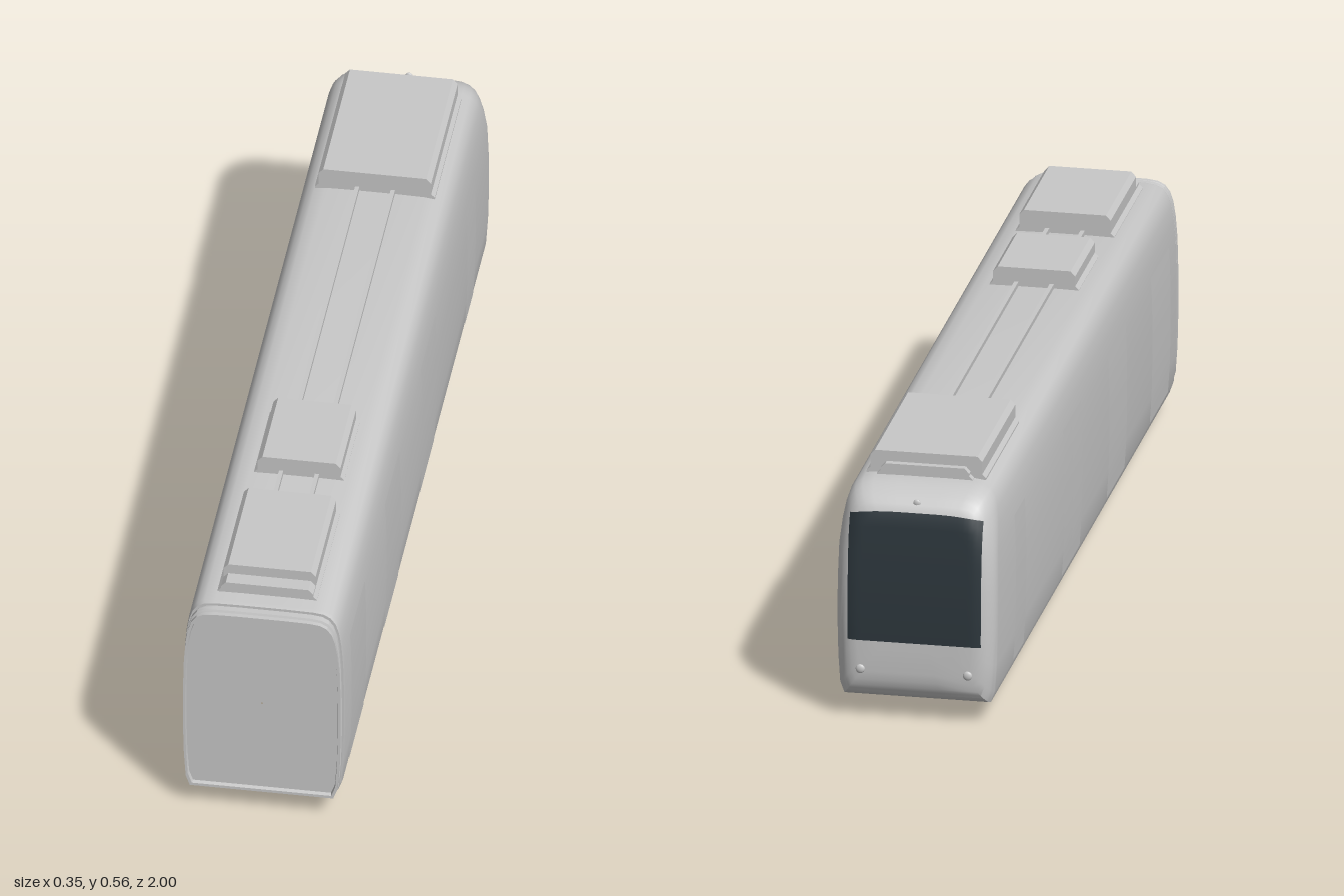
import * as THREE from 'three';
import { toCreasedNormals } from 'three/addons/utils/BufferGeometryUtils.js';

// Half cross-section of the car body, from underside to roof
const HALF = [[0.06, 0.045], [0.157, 0.045], [0.166, 0.07], [0.17, 0.13], [0.172, 0.21], [0.172, 0.3],
  [0.17, 0.38], [0.166, 0.43], [0.161, 0.462], [0.154, 0.484], [0.143, 0.499], [0.128, 0.507], [0.105, 0.51], [0.05, 0.511]];
const RING = [...HALF, ...HALF.map(([x, y]) => [-x, y]).reverse()];
const YC = 0.278;

// Relative distance from the section centre: 1 on the outline
function gauge(x, y) {
  let s = 0;
  RING.forEach(([ax, ay], i) => {
    const [bx, by] = RING[(i + 1) % RING.length];
    const nx = by - ay, ny = ax - bx;
    s = Math.max(s, (nx * x + ny * (y - YC)) / (nx * ax + ny * (ay - YC)));
  });
  return s;
}

// Half width of the body side at a height
function sideX(y) {
  for (let i = 1; i < HALF.length - 1; i++) {
    const [ax, ay] = HALF[i], [bx, by] = HALF[i + 1];
    if (y <= by) return ax + (bx - ax) * (y - ay) / (by - ay);
  }
  return 0;
}

// Rounded cab end: raked face with a soft edge that is deeper at the roof
function noseZ(y, s) {
  const depth = 0.045 + 0.045 * THREE.MathUtils.smoothstep(y, 0.36, 0.51);
  const t = Math.min(1, Math.max(0, (s - 0.72) / 0.28));
  return -0.997 + 0.2 * Math.max(0, y - 0.17) ** 2 + depth * (1 - Math.sqrt(1 - t * t));
}

function geometryFrom(pos, crease) {
  const g = new THREE.BufferGeometry();
  g.setAttribute('position', new THREE.Float32BufferAttribute(pos, 3));
  return toCreasedNormals(g, crease);
}

// Skin over scaled body sections, ordered from front to back; z may depend on height
function loft(stations, crease = 0.6) {
  const rings = stations.map(([s, z]) => RING.map(([x, y]) => {
    const py = YC + (y - YC) * s;
    return [x * s, py, typeof z === 'function' ? z(py, s) : z];
  }));
  const pos = [];
  for (let r = 0; r < rings.length - 1; r++) {
    const a = rings[r], b = rings[r + 1];
    for (let i = 0; i < a.length; i++) {
      const j = (i + 1) % a.length;
      pos.push(...a[i], ...b[i], ...b[j], ...a[i], ...b[j], ...a[j]);
    }
  }
  return geometryFrom(pos, crease);
}

// Grid surface from fn(u, v)
function patch(fn, nu, nv) {
  const pos = [];
  for (let i = 0; i < nu; i++) for (let j = 0; j < nv; j++) {
    const p = (a, b) => fn((i + a) / nu, (j + b) / nv);
    pos.push(...p(0, 0), ...p(1, 0), ...p(1, 1), ...p(0, 0), ...p(1, 1), ...p(0, 1));
  }
  return geometryFrom(pos, 0.6);
}

// Chamfered roof housing running along z
function housing(w, top, z0, z1) {
  const pts = [[w + 0.008, 0.503], [w + 0.008, 0.511], [w, 0.519], [w, top - 0.011], [w - 0.01, top]];
  const all = [...pts, ...pts.map(([x, y]) => [-x, y]).reverse()];
  const shape = new THREE.Shape(all.map(([x, y]) => new THREE.Vector2(x, y)));
  return new THREE.ExtrudeGeometry(shape, { depth: z1 - z0, bevelEnabled: false }).translate(0, 0, z0);
}

export function createModel() {
  const model = new THREE.Group();
  model.name = 'railCar';
  const grey = new THREE.MeshStandardMaterial({ color: 0xc8c8c8 });
  grey.name = 'body grey';
  const glass = new THREE.MeshStandardMaterial({ color: 0x2d373d });
  glass.name = 'dark glass';
  const add = (name, geo, mat = grey) => {
    const m = new THREE.Mesh(geo, mat);
    m.name = name;
    model.add(m);
    return m;
  };

  // Body shell with the rounded cab end
  const nose = [1, 0.995, 0.98, 0.96, 0.93, 0.9, 0.86, 0.8, 0.72, 0.5, 0.25, 0.01].map(s => [s, noseZ]);
  add('body', loft([[0.9, 0.965], [0.99, 0.965], [1, 0.955], ...nose]));

  // Ribbed gangway frame with end panel
  add('gangway', loft([[0.01, 0.992], [0.935, 0.992], [0.945, 1], [0.972, 1], [0.972, 0.991], [0.96, 0.989],
    [0.96, 0.986], [0.98, 0.984], [0.98, 0.974], [0.965, 0.972], [0.965, 0.96]], 0.4));

  // Windscreen following the cab face
  add('windscreen', patch((u, v) => {
    const x = 0.143 * (1 - 2 * u);
    const y = 0.18 + v * (0.285 - 0.012 * (x / 0.143) ** 4);
    return [x, y, noseZ(y, gauge(x, y)) - 0.003];
  }, 28, 18), glass);

  // Lamps on the cab face
  for (const [x, y, r] of [[-0.115, 0.115, 0.01], [0.115, 0.115, 0.01], [0, 0.482, 0.008]]) {
    const lamp = add('lamp', new THREE.SphereGeometry(r, 16, 10));
    lamp.scale.z = 0.5;
    lamp.position.set(x, y, noseZ(y, gauge(x, y)));
  }

  // Door panels on both sides
  for (const side of [1, -1]) {
    for (const [z0, z1] of [[0.69, 0.885], [0.23, 0.42], [-0.16, -0.06], [-0.25, -0.16], [-0.77, -0.66]]) {
      add('door', patch((u, v) => {
        const y = 0.072 + 0.325 * v;
        const z = side > 0 ? z1 + (z0 - z1) * u : z0 + (z1 - z0) * u;
        return [side * (sideX(y) + 0.0015), y, z];
      }, 1, 10));
    }
  }

  // Roof housings and their lower end steps
  add('rearRoofUnit', housing(0.12, 0.558, -0.865, -0.51));
  add('rearRoofStep', housing(0.095, 0.535, -0.88, -0.86));
  add('middleRoofUnit', housing(0.088, 0.552, 0.29, 0.5));
  add('frontRoofUnit', housing(0.098, 0.558, 0.62, 0.892));
  add('frontRoofStep', housing(0.098, 0.535, 0.89, 0.925));

  // Conduits between the roof housings
  for (const x of [-0.038, 0.038]) {
    add('roofConduit', new THREE.BoxGeometry(0.009, 0.014, 1.14).translate(x, 0.514, 0.055));
  }

  // Underside bogie plate and flanged wheels
  add('bogiePlate', new THREE.BoxGeometry(0.2, 0.01, 0.27).translate(0, 0.045, -0.485));
  const profile = [[0, -0.01], [0.038, -0.01], [0.04, 0.004], [0.046, 0.005], [0.046, 0.009], [0.04, 0.011], [0, 0.011]]
    .map(([r, h]) => new THREE.Vector2(r, h));
  for (const x of [-0.113, 0.113]) for (const z of [-0.35, -0.62]) {
    const wheel = add('wheel', toCreasedNormals(new THREE.LatheGeometry(profile, 32), 0.5));
    wheel.rotation.z = Math.sign(x) * Math.PI / 2;
    wheel.position.set(x, 0.046, z);
  }
  return model;
}
